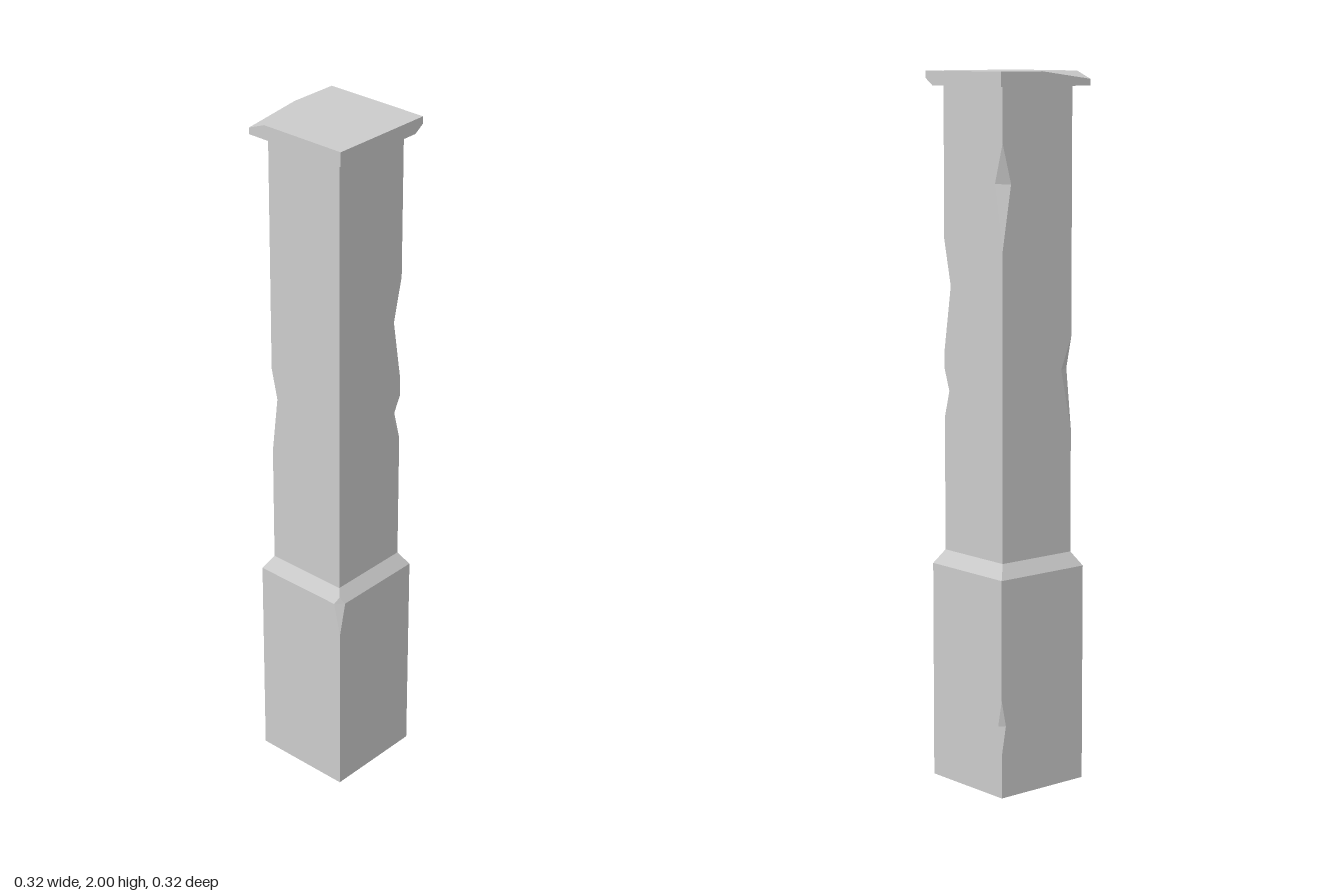
import * as THREE from 'three';
import { ConvexGeometry } from 'three/addons/geometries/ConvexGeometry.js';

const material = new THREE.MeshStandardMaterial({ color: 0xcccccc, flatShading: true });
const UP = new THREE.Vector3(0, 1, 0);
const v3 = (x, y, z) => new THREE.Vector3(x, y, z);

// Square column with chipped corner edges. Side k runs from corner k to corner k + 1;
// corners are 0: +x+z, 1: +x-z, 2: -x-z, 3: -x+z.
// A chip bites `left` into the side before its corner and `right` into the side after it.
function chippedColumn(half, y0, y1, chips) {
  const tris = [];
  const point = (side, u, y) => v3(half, y, -u).applyAxisAngle(UP, side * Math.PI / 2);

  // Outline of one corner edge, bottom to top, in side coordinates
  const edge = (corner, u, inward, key) => {
    const pts = [new THREE.Vector2(u, y0)];
    let open = false;
    for (const c of chips.filter((chip) => chip.corner === corner)) {
      pts.push(new THREE.Vector2(u, c.bottom), new THREE.Vector2(u + inward * c[key], c.mid));
      open = c.mid === c.top;
      if (!open) pts.push(new THREE.Vector2(u, c.top));
    }
    if (!open) pts.push(new THREE.Vector2(u, y1));
    return pts;
  };

  // Four sides
  for (let k = 0; k < 4; k++) {
    const outline = [
      ...edge((k + 1) % 4, half, -1, 'left'),
      ...edge(k, -half, 1, 'right').reverse(),
    ];
    for (const f of THREE.ShapeUtils.triangulateShape(outline, []))
      tris.push(...f.map((i) => point(k, outline[i].x, outline[i].y)));
  }

  // Two facets inside each chip
  for (const c of chips) {
    const l = point(c.corner + 3, half - c.left, c.mid);
    const r = point(c.corner, -half + c.right, c.mid);
    tris.push(point(c.corner, -half, c.bottom), r, l);
    if (c.top > c.mid) tris.push(point(c.corner, -half, c.top), l, r);
  }

  // Underside
  const b = [0, 1, 2, 3].map((k) => point(k, -half, y0));
  tris.push(b[0], b[3], b[2], b[0], b[2], b[1]);

  const geometry = new THREE.BufferGeometry().setFromPoints(tris);
  geometry.computeVertexNormals();
  return geometry;
}

export function createModel() {
  const group = new THREE.Group();
  const add = (name, geometry) => {
    const mesh = new THREE.Mesh(geometry, material);
    mesh.name = name;
    group.add(mesh);
  };

  // Wide base block
  const B = 0.15, S = 0.125, C = 0.16;
  add('base', chippedColumn(B, 0, 0.62, [
    { corner: 1, bottom: 0.12, mid: 0.205, top: 0.28, left: 0.015, right: 0.015 },
    { corner: 3, bottom: 0.52, mid: 0.62, top: 0.62, left: 0.022, right: 0.022 },
  ]));

  // Sloped shoulder, with the base's corner chip running up into it
  add('shoulder', new ConvexGeometry([
    v3(B, 0.62, B), v3(B, 0.62, -B), v3(-B, 0.62, -B),
    v3(-B + 0.022, 0.62, B), v3(-B, 0.62, B - 0.022), v3(-0.1375, 0.64, 0.1375),
    v3(S, 0.66, S), v3(S, 0.66, -S), v3(-S, 0.66, -S), v3(-S, 0.66, S),
  ]));

  // Slim shaft
  add('shaft', chippedColumn(S, 0.66, 1.96, [
    { corner: 0, bottom: 1.04, mid: 1.115, top: 1.175, left: 0.03, right: 0.02 },
    { corner: 0, bottom: 1.23, mid: 1.41, top: 1.54, left: 0.03, right: 0.028 },
    { corner: 1, bottom: 1.52, mid: 1.7, top: 1.81, left: 0.032, right: 0.03 },
    { corner: 2, bottom: 1.01, mid: 1.18, top: 1.27, left: 0.037, right: 0.02 },
  ]));

  // Cap slab, chipped under the front corner and on top of the back corner
  add('cap', new ConvexGeometry([
    v3(C, 1.96, -C), v3(-C, 1.96, -C), v3(-C, 1.96, C),
    v3(0.13, 1.96, C), v3(C, 1.96, 0.13), v3(C, 1.98, C),
    v3(C, 2, C), v3(C, 2, -C), v3(-C, 2, C),
    v3(0.015, 2, -C), v3(-C, 2, -0.105), v3(-C, 1.978, -C),
  ]));

  return group;
}
